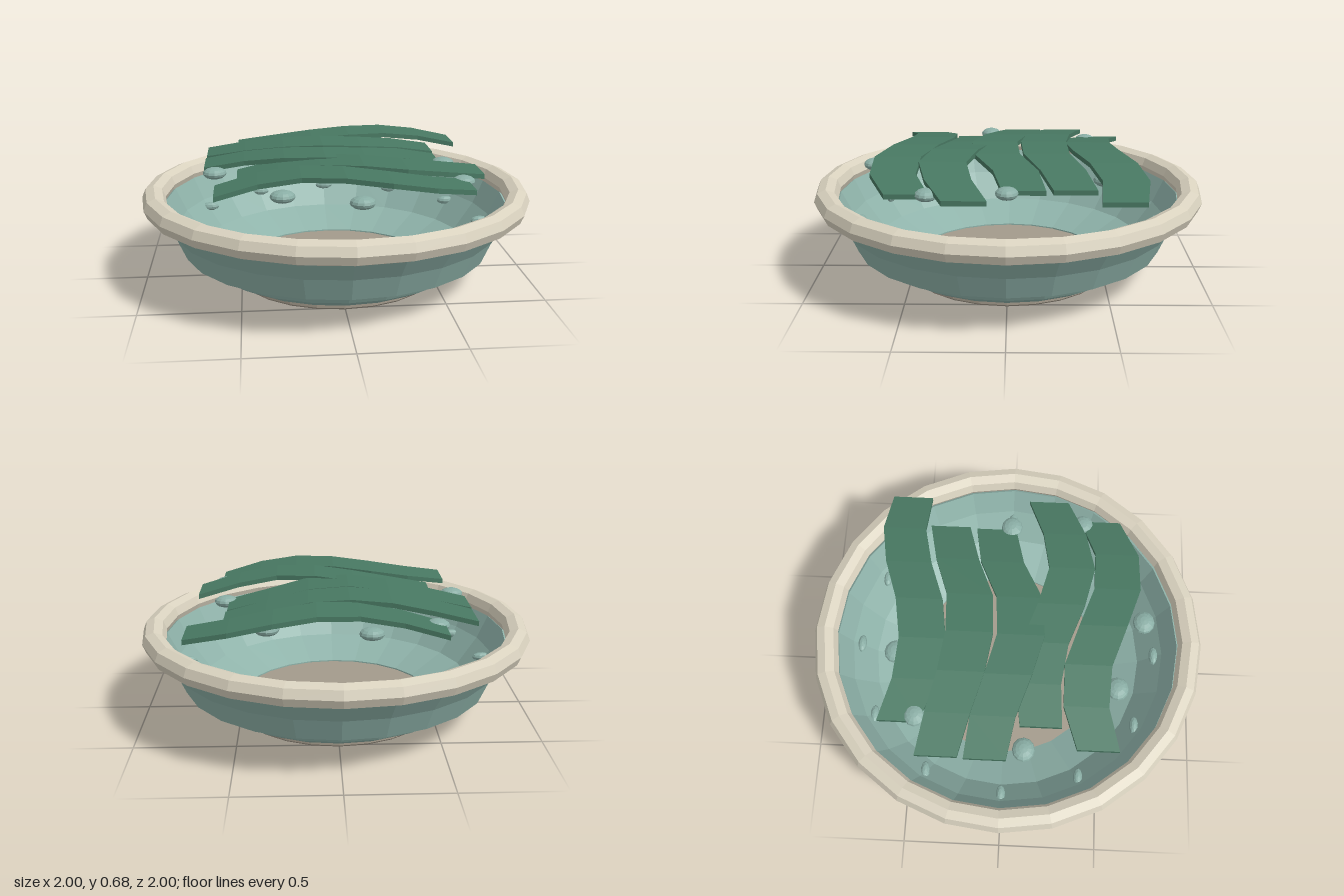
import * as THREE from 'three';

const mat = (name, color) => {
  const m = new THREE.MeshStandardMaterial({ color, flatShading: true, side: THREE.DoubleSide });
  m.name = name;
  return m;
};

export function createModel() {
  const model = new THREE.Group();
  const glaze = mat('tealGlaze', 0x8fb3aa);
  const cream = mat('creamRim', 0xd9d2bf);
  const clay = mat('bareClay', 0xa39a8b);
  const leaf = mat('leafGreen', 0x487862);
  const pearl = mat('paleBead', 0x8aaea5);

  const add = (name, geometry, material, parent = model) => {
    const mesh = new THREE.Mesh(geometry, material);
    mesh.name = name;
    parent.add(mesh);
    return mesh;
  };
  const lathe = (pts) => new THREE.LatheGeometry(pts.map(p => new THREE.Vector2(...p)), 24);

  // Stepped bowl: up the outside, over the lip and down the inside
  add('bowl', lathe([
    [0.51, 0.05], [0.59, 0.05], [0.68, 0.10], [0.715, 0.16], [0.795, 0.165], [0.845, 0.28],
    [0.92, 0.39], [0.88, 0.42], [0.82, 0.30], [0.71, 0.16], [0.51, 0.065], [0.51, 0.05],
  ]), glaze);

  // Foot disc, also visible as the bare floor of the bowl
  add('foot', lathe([
    [0, 0], [0.52, 0], [0.53, 0.01], [0.53, 0.045], [0.52, 0.058], [0, 0.058],
  ]), clay);

  // Rounded rim
  const rim = new THREE.TorusGeometry(0.94, 0.06, 8, 24);
  rim.rotateX(-Math.PI / 2);
  add('rim', rim, cream).position.y = 0.443;

  // Ring of studs on the inner wall
  const studs = new THREE.Group();
  studs.name = 'wallStuds';
  model.add(studs);
  const studShape = new THREE.SphereGeometry(1, 10, 6);
  for (let i = 0; i < 12; i++) {
    const a = i * Math.PI / 6;
    const stud = add('stud', studShape, pearl, studs);
    stud.position.set(0.78 * Math.sin(a), 0.265, 0.78 * Math.cos(a));
    stud.scale.set(0.05, 0.023, 0.024);
  }

  // Flattened beads among the leaf strips
  const beads = new THREE.Group();
  beads.name = 'beads';
  model.add(beads);
  const beadShape = new THREE.SphereGeometry(1, 12, 8);
  for (const [x, z] of [[-0.15, -0.55], [-0.47, -0.43], [0.34, -0.47], [0.565, 0],
    [-0.62, 0.105], [0.59, 0.37], [-0.295, 0.555], [0.06, 0.685]]) {
    const bead = add('bead', beadShape, pearl, beads);
    bead.position.set(x, 0.588, z);
    bead.scale.set(0.06, 0.03, 0.055);
  }

  // Wavy leaf strips: boxes arched upward and shifted along a centre line
  const strips = new THREE.Group();
  strips.name = 'leafStrips';
  model.add(strips);
  const layout = [
    [0.105, [-0.51, -0.44, -0.415, -0.445, -0.515, -0.555, -0.53]],
    [-0.06, [-0.315, -0.27, -0.215, -0.185, -0.195, -0.27, -0.32]],
    [-0.065, [-0.08, -0.05, 0.015, 0.07, 0.055, -0.04, -0.08]],
    [0.105, [0.185, 0.165, 0.19, 0.265, 0.315, 0.275, 0.19]],
    [0, [0.465, 0.40, 0.405, 0.475, 0.545, 0.545, 0.46]],
  ];
  layout.forEach(([cx, centre], n) => {
    const g = new THREE.BoxGeometry(1.224, 0.024, 1, 6, 1, 1);
    const p = g.attributes.position;
    for (let i = 0; i < p.count; i++) {
      const u = p.getX(i) / 1.224 + 0.5;
      const arch = Math.sin(Math.PI * u);
      p.setXYZ(i, p.getX(i) + cx,
        p.getY(i) + 0.584 + 0.08 * arch + (n % 2) * 0.003,
        p.getZ(i) * (0.205 + 0.03 * arch) + centre[Math.round(u * 6)]);
    }
    g.computeVertexNormals();
    add('leafStrip', g, leaf, strips);
  });

  return model;
}
